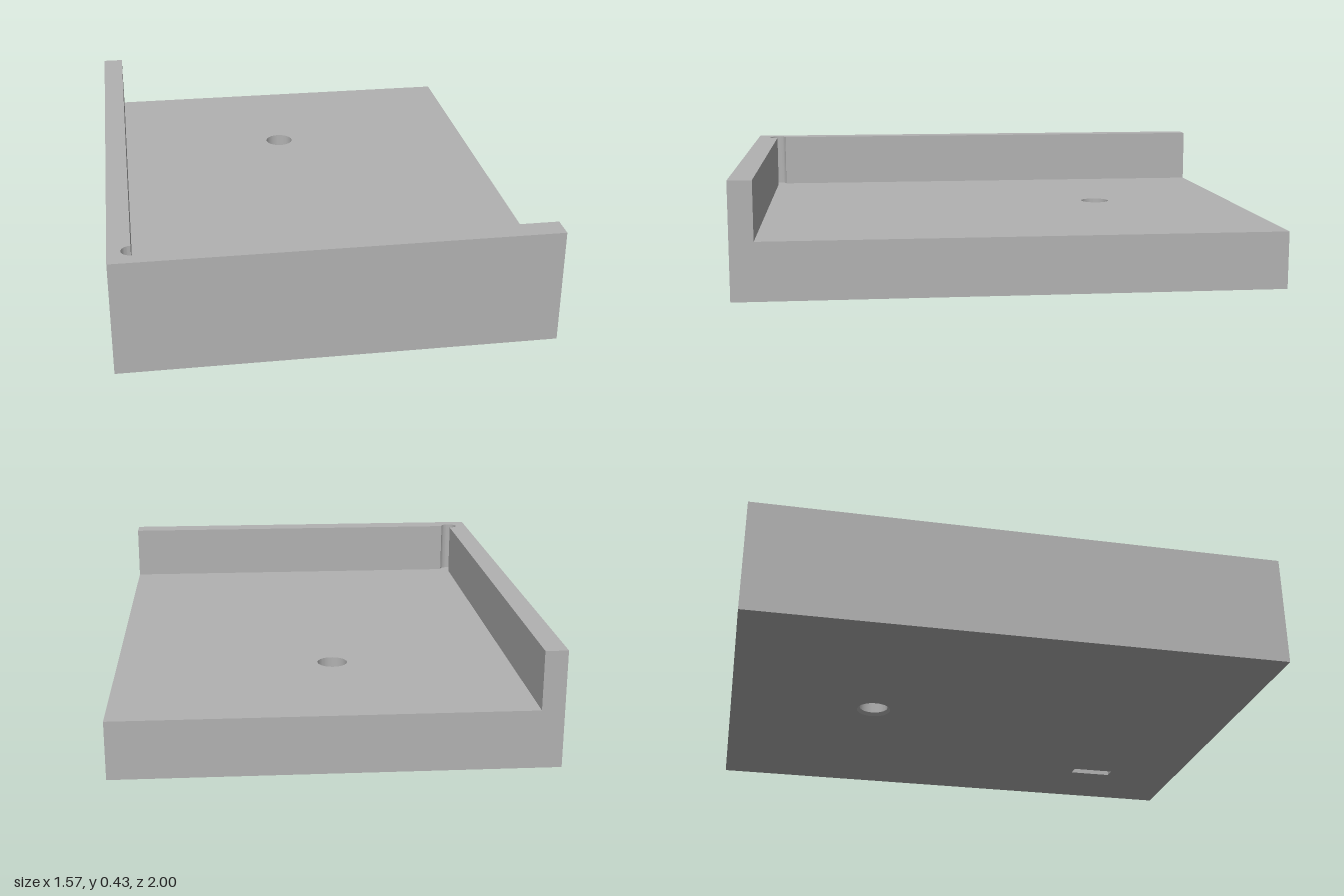
import * as THREE from 'three';
import { toCreasedNormals } from 'three/addons/utils/BufferGeometryUtils.js';

const X = 0.787, Z = 1, FLOOR = 0.213, TOP = 0.428; // half sizes and heights
const IX = -0.706, IZ = 0.914;                      // inner faces of the two walls
const SLOT_DEPTH = 0.025, CHAMFER = 0.012;

const P = (x, z) => new THREE.Vector2(x, z);

// All outlines are points (x, z)
const rect = (cx, cz, hx, hz) =>
  [P(cx - hx, cz - hz), P(cx + hx, cz - hz), P(cx + hx, cz + hz), P(cx - hx, cz + hz)];

const arc = (cx, cz, r, from, to, n) => Array.from({ length: n + 1 }, (_, i) => {
  const a = from + (to - from) * i / n;
  return P(cx + r * Math.cos(a), cz + r * Math.sin(a));
});
const circle = (cx, cz, r) => arc(cx, cz, r, 0, Math.PI * 2, 48).slice(0, -1);

// Horizontal face at height y, facing up or down
function flat(outline, holes, y, up) {
  const shape = new THREE.Shape(outline);
  holes.forEach(h => shape.holes.push(new THREE.Path(h)));
  const geo = new THREE.ShapeGeometry(shape).rotateX(Math.PI / 2).translate(0, y, 0);
  if (up) {
    geo.index.array.reverse();
    geo.computeVertexNormals();
  }
  return geo;
}

// Band joining a lower outline to an upper one, facing outward or inward
function band(lower, y0, upper, y1, inward = false) {
  const pos = [];
  lower.forEach((a, i) => {
    const j = (i + 1) % lower.length;
    const q = [[a.x, y0, a.y], [lower[j].x, y0, lower[j].y],
      [upper[j].x, y1, upper[j].y], [upper[i].x, y1, upper[i].y]];
    const order = inward ? [0, 1, 2, 0, 2, 3] : [0, 2, 1, 0, 3, 2];
    order.forEach(k => pos.push(...q[k]));
  });
  const geo = new THREE.BufferGeometry();
  geo.setAttribute('position', new THREE.Float32BufferAttribute(pos, 3));
  return toCreasedNormals(geo, 0.5);
}

export function createModel() {
  const group = new THREE.Group();
  const grey = new THREE.MeshStandardMaterial({ color: 0xb2b2b2 });
  grey.name = 'grey';
  const add = (name, geo) => {
    const mesh = new THREE.Mesh(geo, grey);
    mesh.name = name;
    group.add(mesh);
  };

  const base = rect(0, 0, X, Z);
  const hole = circle(-0.03, -0.44, 0.056);
  const holeMouth = circle(-0.03, -0.44, 0.066);
  const slot = rect(0.47, 0.615, 0.023, 0.085);

  // Round relief in the corner where the walls meet
  const relief = arc(IX, IZ, 0.034, -Math.PI / 2, -Math.PI * 2, 30);
  const walls = [P(-X, -Z), P(IX, -Z), ...relief, P(X, IZ), P(X, Z), P(-X, Z)];
  const floor = [P(IX, -Z), ...relief, P(X, IZ), P(X, -Z)];

  // Base slab
  add('underside', flat(base, [holeMouth, slot], 0, false));
  add('baseSides', band(base, 0, base, FLOOR));
  add('floor', flat(floor, [hole], FLOOR, true));

  // L-shaped wall
  add('wallSides', band(walls, FLOOR, walls, TOP));
  add('wallRim', flat(walls, [], TOP, true));

  // Through hole with a small chamfer below
  add('holeChamfer', band(holeMouth, 0, hole, CHAMFER, true));
  add('holeBore', band(hole, CHAMFER, hole, FLOOR, true));

  // Shallow slot in the underside
  add('slotSides', band(slot, 0, slot, SLOT_DEPTH, true));
  add('slotEnd', flat(slot, [], SLOT_DEPTH, false));

  return group;
}
